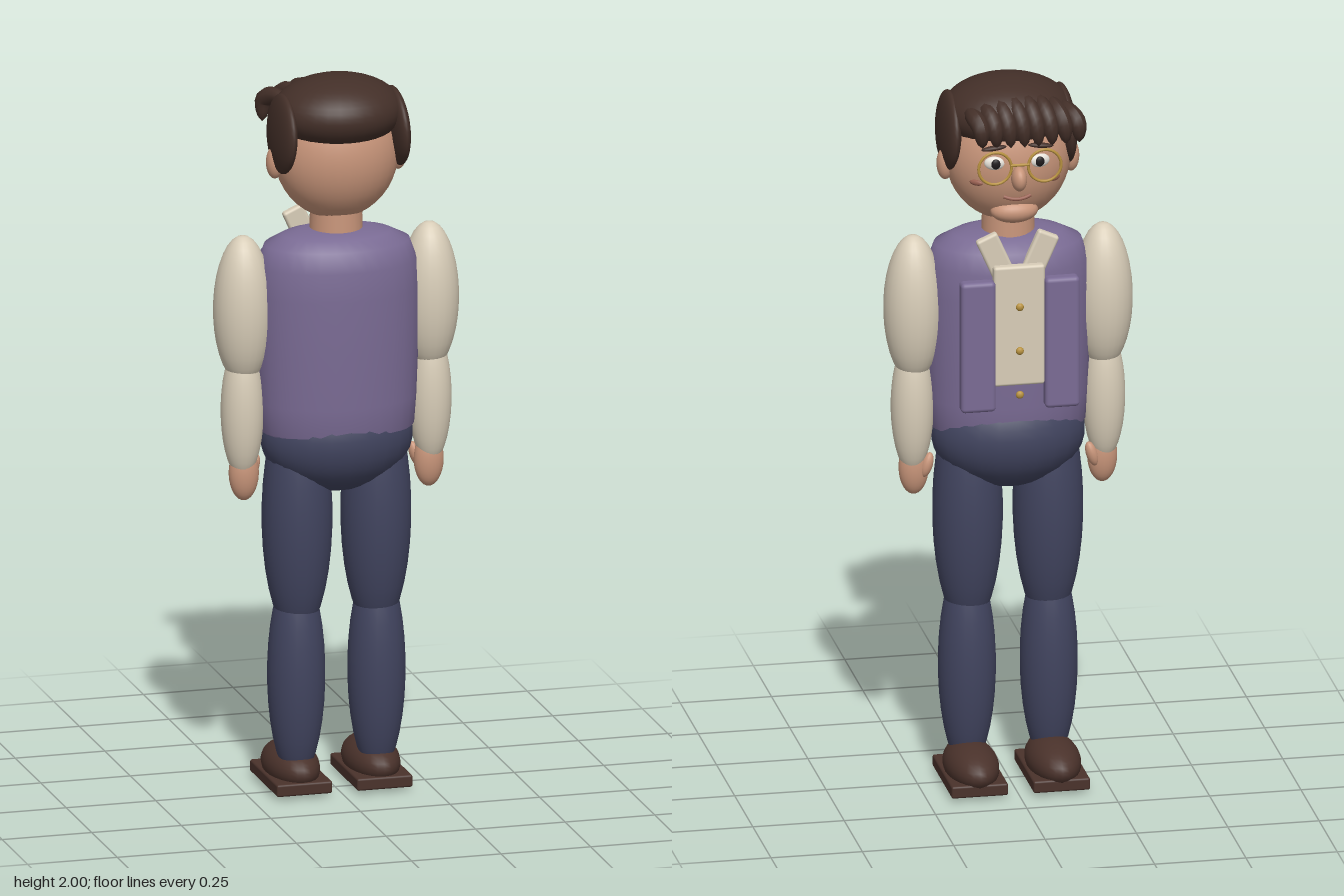
import * as THREE from 'three';
import { RoundedBoxGeometry } from 'three/addons/geometries/RoundedBoxGeometry.js';

const mat = (name, color) => {
  const m = new THREE.MeshStandardMaterial({ color });
  m.name = name;
  return m;
};

export function createModel() {
  const root = new THREE.Group();
  root.name = 'standingMan';
  const M = {
    skin: mat('skin', 0xc8957a),
    hair: mat('hair brown', 0x432f28),
    vest: mat('vest purple', 0x7a6b94),
    shirt: mat('shirt cream', 0xd8cdb8),
    trousers: mat('trouser navy', 0x41445f),
    shoe: mat('shoe brown', 0x4a322b),
    gold: mat('gold', 0xb8923f),
    lip: mat('lip and cheek', 0x9a6152),
    white: mat('eye white', 0xeeeae2),
    dark: mat('pupil dark', 0x1e1a1c),
  };

  const add = (name, geo, m, pos = [0, 0, 0], rot = [0, 0, 0]) => {
    const mesh = new THREE.Mesh(geo, m);
    mesh.name = name;
    mesh.position.set(...pos);
    mesh.rotation.set(...rot);
    root.add(mesh);
    return mesh;
  };
  const ball = (name, m, pos, radii, rot, seg = 24) =>
    add(name, new THREE.SphereGeometry(1, seg, Math.round(seg * 0.7)).scale(...radii), m, pos, rot);
  const box = (name, m, pos, size, rot, r = 0.008) =>
    add(name, new RoundedBoxGeometry(...size, 3, r), m, pos, rot);

  // Tube along a curve, with its radius scaled by width(t)
  const lock = (name, pts, radius, width) => {
    const curve = new THREE.CatmullRomCurve3(pts.map((p) => new THREE.Vector3(...p)));
    const ts = 12, rs = 10;
    const geo = new THREE.TubeGeometry(curve, ts, radius, rs);
    const p = geo.attributes.position, v = new THREE.Vector3();
    for (let i = 0; i < p.count; i++) {
      const t = Math.floor(i / (rs + 1)) / ts;
      const c = curve.getPointAt(t);
      v.fromBufferAttribute(p, i).sub(c).multiplyScalar(width(t)).add(c);
      p.setXYZ(i, v.x, v.y, v.z);
    }
    geo.computeVertexNormals();
    add(name, geo, M.hair);
  };

  // Vest body: lathe squashed to an oval
  const profile = [[0, 1.0], [0.19, 1.0], [0.212, 1.02], [0.218, 1.1], [0.224, 1.25], [0.226, 1.4],
    [0.22, 1.48], [0.2, 1.535], [0.15, 1.56], [0.1, 1.572], [0, 1.575]]
    .map(([r, y]) => new THREE.Vector2(r, y));
  add('vestBody', new THREE.LatheGeometry(profile, 32).scale(1, 1, 0.66), M.vest, [0, 0, 0.018]);

  // Hips, neck and shirt front
  ball('hips', M.trousers, [0, 0.995, 0.012], [0.21, 0.155, 0.152]);
  add('neck', new THREE.CylinderGeometry(0.068, 0.075, 0.18, 24), M.skin, [0, 1.58, 0.01]);
  box('shirtFront', M.shirt, [0, 1.345, -0.137], [0.14, 0.34, 0.03]);
  for (const y of [1.4, 1.275, 1.15]) ball('button', M.gold, [0, y, -0.154], [0.011, 0.011, 0.008], undefined, 12);

  // Limbs, vest panels and collar, mirrored
  for (const s of [-1, 1]) {
    box('vestPanel', M.vest, [s * 0.115, 1.295, -0.149], [0.095, 0.37, 0.042], undefined, 0.012);
    box('collarWing', M.shirt, [s * 0.062, 1.54, -0.118], [0.062, 0.12, 0.026], [0, 0, -s * 0.42]);
    ball('upperArm', M.shirt, [s * 0.26, 1.36, 0.01], [0.08, 0.207, 0.084]);
    ball('forearm', M.shirt, [s * 0.262, 1.08, 0.011], [0.058, 0.19, 0.06]);
    ball('hand', M.skin, [s * 0.258, 0.905, 0.012], [0.041, 0.077, 0.034]);
    ball('thumb', M.skin, [s * 0.226, 0.915, -0.008], [0.016, 0.036, 0.018], [0, 0, s * 0.3], 16);
    ball('thigh', M.trousers, [s * 0.11, 0.775, 0.014], [0.095, 0.34, 0.1]);
    ball('shin', M.trousers, [s * 0.112, 0.335, 0.013], [0.078, 0.3, 0.082]);
    ball('shoeUpper', M.shoe, [s * 0.112, 0.066, -0.043], [0.073, 0.062, 0.141]);
    box('sole', M.shoe, [s * 0.112, 0.032, -0.036], [0.155, 0.034, 0.27], undefined, 0.006);
  }

  // Head and face, which looks toward -z
  ball('head', M.skin, [0, 1.782, 0.012], [0.17, 0.182, 0.143], undefined, 32);
  ball('chin', M.skin, [0, 1.65, -0.075], [0.065, 0.034, 0.042]);
  ball('nose', M.skin, [0, 1.762, -0.143], [0.021, 0.034, 0.032]);
  const smile = new THREE.QuadraticBezierCurve3(
    new THREE.Vector3(-0.036, 1.704, -0.115), new THREE.Vector3(0, 1.69, -0.13), new THREE.Vector3(0.036, 1.704, -0.115));
  add('mouth', new THREE.TubeGeometry(smile, 10, 0.005, 8), M.lip);

  for (const s of [-1, 1]) {
    ball('ear', M.skin, [s * 0.172, 1.765, 0.012], [0.023, 0.045, 0.027]);
    ball('eyeWhite', M.white, [s * 0.062, 1.802, -0.117], [0.028, 0.019, 0.012], [0, s * -0.2, 0]);
    ball('pupil', M.dark, [s * 0.06, 1.802, -0.127], [0.013, 0.014, 0.006], undefined, 16);
    ball('eyebrow', M.hair, [s * 0.064, 1.845, -0.118], [0.035, 0.007, 0.01], [0, 0, -s * 0.1], 16);
    ball('cheek', M.lip, [s * 0.108, 1.742, -0.095], [0.02, 0.008, 0.006], [0, -s * 0.7, 0], 16);
    add('lensRim', new THREE.TorusGeometry(0.045, 0.004, 8, 32), M.gold, [s * 0.068, 1.8, -0.154]);
  }
  add('glassesBridge', new THREE.CylinderGeometry(0.004, 0.004, 0.05, 8), M.gold,
    [0, 1.806, -0.156], [0, 0, Math.PI / 2]);

  // Hair: cap, side pads and swept fringe
  ball('hairCap', M.hair, [0, 1.902, 0.025], [0.178, 0.098, 0.156], undefined, 32);
  for (const s of [-1, 1]) {
    ball('sideHair', M.hair, [s * 0.158, 1.85, 0.037], [0.028, 0.108, 0.117], [0, 0, s * 0.05]);
  }
  const locks = 8;
  for (let i = 0; i < locks; i++) {
    const t = i / (locks - 1);
    const x = -0.135 + t * 0.255, tip = -0.165 + t * 0.265;
    const edge = (2 * t - 1) ** 2;
    lock('fringeLock', [
      [x, 1.965 - edge * 0.035, -0.035],
      [(x + tip) / 2, 1.947 - edge * 0.025, -0.088],
      [tip, 1.905, -0.122 + edge * 0.006],
      [tip - 0.006, 1.845, -0.127 + edge * 0.012],
    ], 0.025, (k) => Math.max(0.02, Math.sqrt(Math.sin(Math.PI * (0.04 + 0.96 * k)))));
  }
  return root;
}
